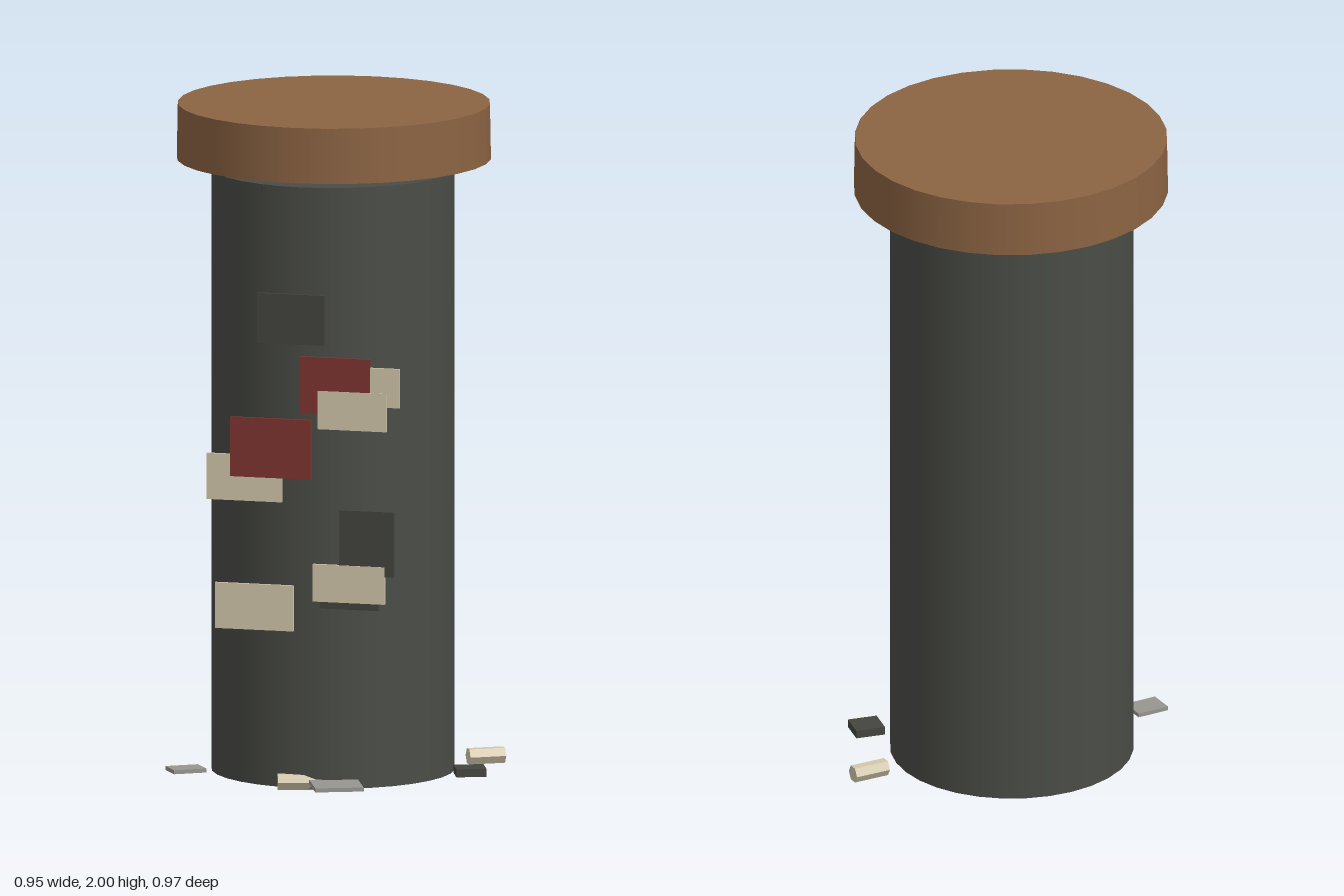
import * as THREE from 'three';

const material = (name, color) => {
  const m = new THREE.MeshStandardMaterial({ color });
  m.name = name;
  return m;
};

export function createModel() {
  const model = new THREE.Group();
  model.name = 'posterColumn';

  const stone = material('darkStone', 0x4a4c46);
  const wood = material('brownCap', 0x8b6342);
  const cream = material('creamPaper', 0xd3c8ab);
  const red = material('redPaper', 0x7f352f);
  const dark = material('darkPaper', 0x44453f);
  const grey = material('greyPaper', 0x98958f);

  const add = (name, geometry, mat, x, y, z, turn = 0) => {
    const mesh = new THREE.Mesh(geometry, mat);
    mesh.name = name;
    mesh.position.set(x, y, z);
    mesh.rotation.y = turn;
    model.add(mesh);
    return mesh;
  };

  // Round column and the cap floating just above it
  add('column', new THREE.CylinderGeometry(0.36, 0.36, 1.8, 32), stone, -0.015, 0.905, -0.02);
  add('cap', new THREE.CylinderGeometry(0.462, 0.465, 0.165, 32), wood, -0.013, 1.9175, -0.022);

  // Flat posters on the front: x0, x1, y0, y1, material, stacking layer
  const posters = [
    [-0.145, 0.06, 1.335, 1.485, dark, 1],
    [0.08, 0.29, 1.158, 1.275, cream, 0],
    [-0.015, 0.2, 1.13, 1.3, red, 1],
    [0.04, 0.25, 1.085, 1.2, cream, 2],
    [-0.3, -0.07, 0.86, 0.998, cream, 0],
    [-0.228, 0.018, 0.932, 1.11, red, 1],
    [0.105, 0.272, 0.65, 0.845, dark, 0],
    [0.045, 0.225, 0.548, 0.668, dark, 1],
    [0.025, 0.245, 0.568, 0.68, cream, 2],
    [-0.275, -0.035, 0.475, 0.612, cream, 1],
  ];
  posters.forEach(([x0, x1, y0, y1, mat, layer], i) => {
    add(`poster${i + 1}`, new THREE.BoxGeometry(x1 - x0, y1 - y0, 0.009), mat,
      (x0 + x1) / 2, (y0 + y1) / 2, 0.3455 + layer * 0.001);
  });

  // Rolled papers lying at the foot
  const roll = (x, z, length, turn) => {
    const geometry = new THREE.CylinderGeometry(0.026, 0.026, length, 6);
    geometry.rotateZ(Math.PI / 2);
    geometry.rotateX(Math.PI / 2);
    const flat = geometry.toNonIndexed();
    flat.computeVertexNormals();
    // Keep a pair of hexagon corners level, so a flat side faces down
    flat.computeBoundingBox();
    const { min, max } = flat.boundingBox;
    if (max.y - min.y > max.z - min.z) flat.rotateX(Math.PI / 2);
    flat.computeVertexNormals();
    add('rolledPaper', flat, cream, x, 0.0226, z, turn);
  };
  roll(0.389, -0.253, 0.11, 0.557);
  roll(-0.021, 0.33, 0.13, 0.3);

  // Loose flat scraps on the ground: x, z, width, depth, height, turn, material
  const scraps = [
    [0.419, 0.034, 0.089, 0.083, 0.024, 0.38, dark],
    [-0.396, 0.232, 0.1, 0.079, 0.012, 0.59, grey],
    [0.108, 0.388, 0.144, 0.15, 0.012, 0.39, grey],
  ];
  for (const [x, z, w, d, h, turn, mat] of scraps) {
    add('paperScrap', new THREE.BoxGeometry(w, h, d), mat, x, 0.026, z, turn);
  }

  return model;
}
